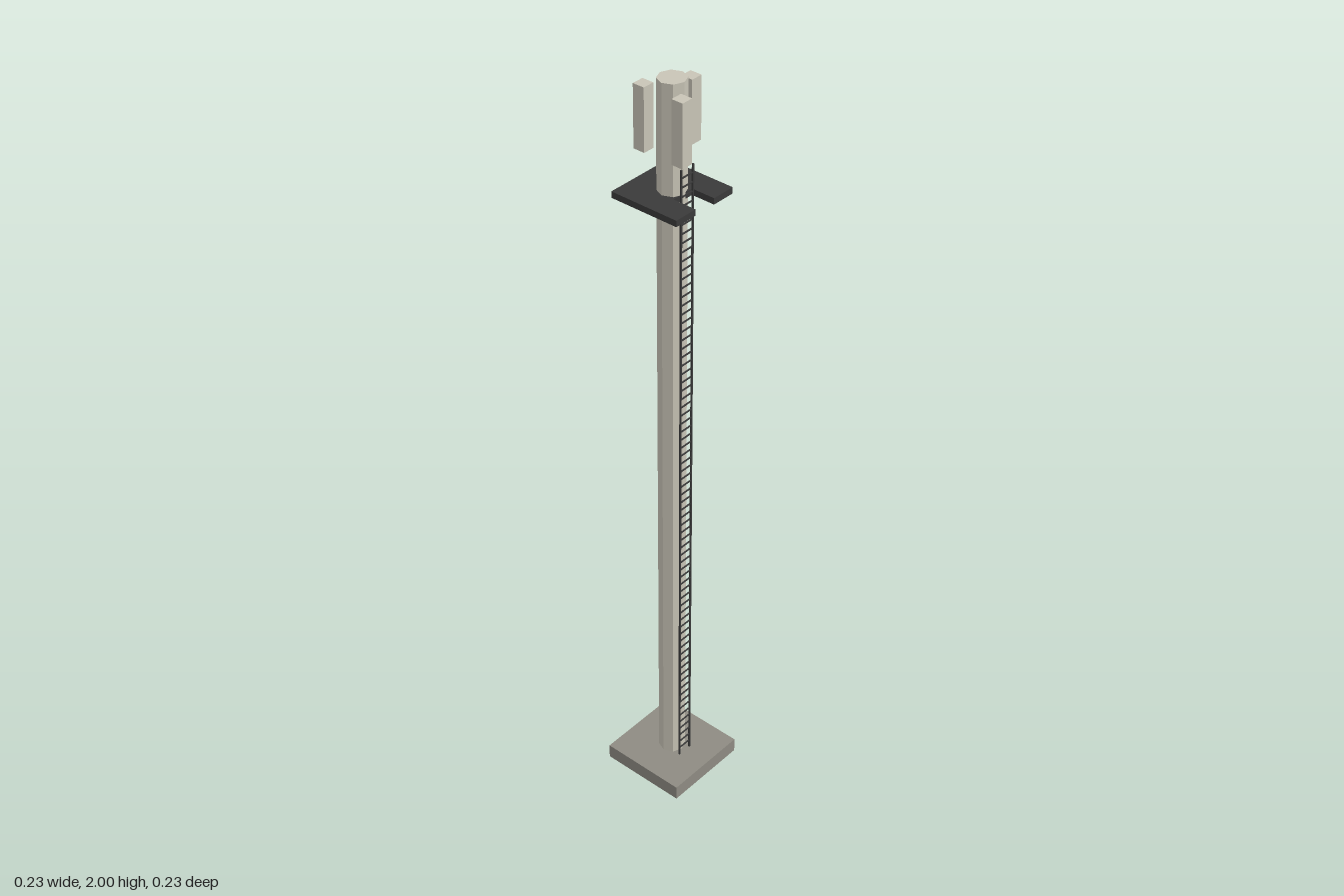
import * as THREE from 'three';

export function createModel() {
  const root = new THREE.Group();
  const mat = (color) => new THREE.MeshStandardMaterial({ color, flatShading: true });
  const concrete = mat(0x8e8b82), pale = mat(0xc8c4b6), dark = mat(0x3a3a3a);

  function add(name, geometry, material, x, y, z, parent = root) {
    const mesh = new THREE.Mesh(geometry, material);
    mesh.name = name;
    mesh.position.set(x, y, z);
    parent.add(mesh);
    return mesh;
  }

  // Square footing and octagonal mast
  const baseH = 0.04;
  add('foundation', new THREE.BoxGeometry(0.235, baseH, 0.235), concrete, 0, baseH / 2, 0);
  add('mast', new THREE.CylinderGeometry(0.0345, 0.0345, 2 - baseH, 8), pale, 0, 1 + baseH / 2, 0);

  // Service platform with a hatch notch open to the front
  const h = 0.094, n = 0.031, t = 0.016;
  const outline = [[-h, h], [-h, -h], [-n, -h], [-n, -n], [n, -n], [n, -h], [h, -h], [h, h]];
  const shape = new THREE.Shape(outline.map(([x, y]) => new THREE.Vector2(x, y)));
  const deck = new THREE.ExtrudeGeometry(shape, { depth: t, bevelEnabled: false });
  deck.rotateX(-Math.PI / 2);
  add('platform', deck, dark, 0, 1.72 - t / 2, 0);

  // Ladder up the front of the mast
  const ladder = new THREE.Group();
  ladder.name = 'ladder';
  root.add(ladder);
  const ladderTop = 1.8, ladderZ = 0.043, railX = 0.0196, pitch = 0.0235;
  const rail = new THREE.BoxGeometry(0.004, ladderTop - baseH, 0.004);
  for (const side of [-1, 1]) {
    add('ladderRail', rail, dark, side * railX, (ladderTop + baseH) / 2, ladderZ, ladder);
  }
  const rung = new THREE.BoxGeometry(railX * 2, 0.003, 0.003);
  for (let y = baseH + pitch; y < ladderTop - 0.005; y += pitch) {
    add('ladderRung', rung, dark, 0, y, ladderZ, ladder);
  }

  // Three panel antennas spaced evenly around the mast head
  const panel = new THREE.BoxGeometry(0.031, 0.157, 0.031);
  for (let i = 0; i < 3; i++) {
    const a = (i * Math.PI * 2) / 3;
    add('antennaPanel', panel, pale, 0.0627 * Math.cos(a), 1.902, 0.0627 * Math.sin(a));
  }
  return root;
}
